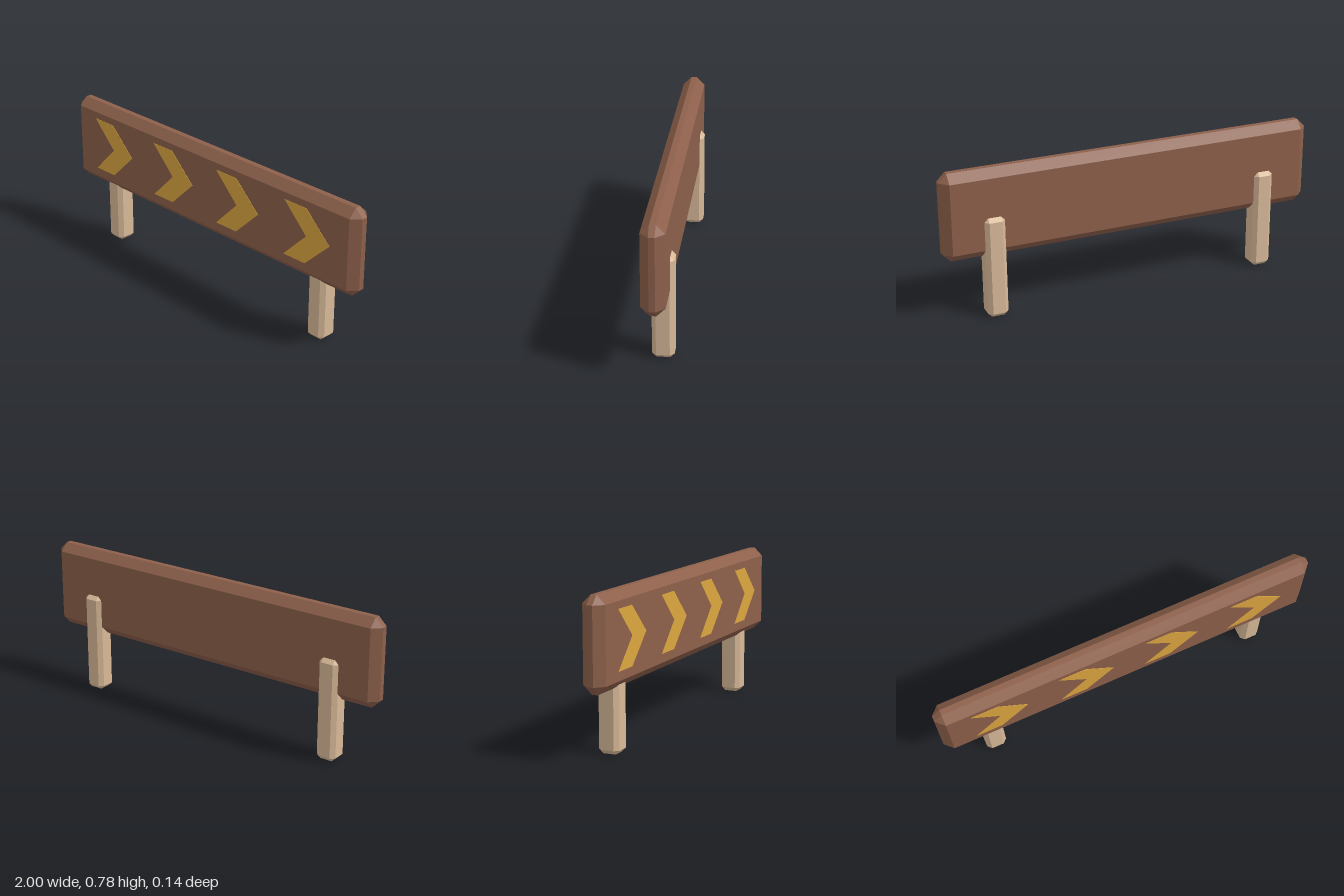
import * as THREE from 'three';
import { ConvexGeometry } from 'three/addons/geometries/ConvexGeometry.js';

// Box with flat 45 degree chamfers on every edge and a triangle at every corner
function chamferedBox(w, h, d, c) {
  const points = [];
  for (const sx of [-1, 1]) for (const sy of [-1, 1]) for (const sz of [-1, 1]) {
    for (let axis = 0; axis < 3; axis++) {
      const p = new THREE.Vector3(w / 2 - c, h / 2 - c, d / 2 - c);
      p.setComponent(axis, p.getComponent(axis) + c);
      points.push(p.multiply(new THREE.Vector3(sx, sy, sz)));
    }
  }
  return new ConvexGeometry(points);
}

export function createModel() {
  const model = new THREE.Group();
  model.name = 'chevronSign';

  const darkWood = new THREE.MeshStandardMaterial({ name: 'darkWood', color: 0x8d604b });
  const paleWood = new THREE.MeshStandardMaterial({ name: 'paleWood', color: 0xd8b998 });
  const yellowPaint = new THREE.MeshStandardMaterial({ name: 'yellowPaint', color: 0xdca63f });

  const add = (name, geometry, material, x, y, z) => {
    const mesh = new THREE.Mesh(geometry, material);
    mesh.name = name;
    mesh.position.set(x, y, z);
    model.add(mesh);
  };

  // Sign board
  add('board', chamferedBox(2, 0.458, 0.116, 0.043), darkWood, 0, 0.551, 0.009);

  // Posts, set slightly behind the board
  const post = chamferedBox(0.107, 0.535, 0.108, 0.021);
  add('leftPost', post, paleWood, 0.74, 0.2675, -0.015);
  add('rightPost', post, paleWood, -0.74, 0.2675, -0.015);

  // Painted arrows pointing to the model's left
  const arrow = new THREE.Shape([
    [-0.145, 0.145], [-0.145 + 0.14, 0.145], [0.145, 0],
    [-0.145 + 0.14, -0.145], [-0.145, -0.145], [-0.002, 0],
  ].map(([x, y]) => new THREE.Vector2(x, y)));
  const arrowGeometry = new THREE.ExtrudeGeometry(arrow, { depth: 0.003, bevelEnabled: false });
  for (let i = 0; i < 4; i++) {
    add(`arrow${i + 1}`, arrowGeometry, yellowPaint, -0.688 + i * 0.463, 0.555, 0.0655);
  }

  return model;
}
